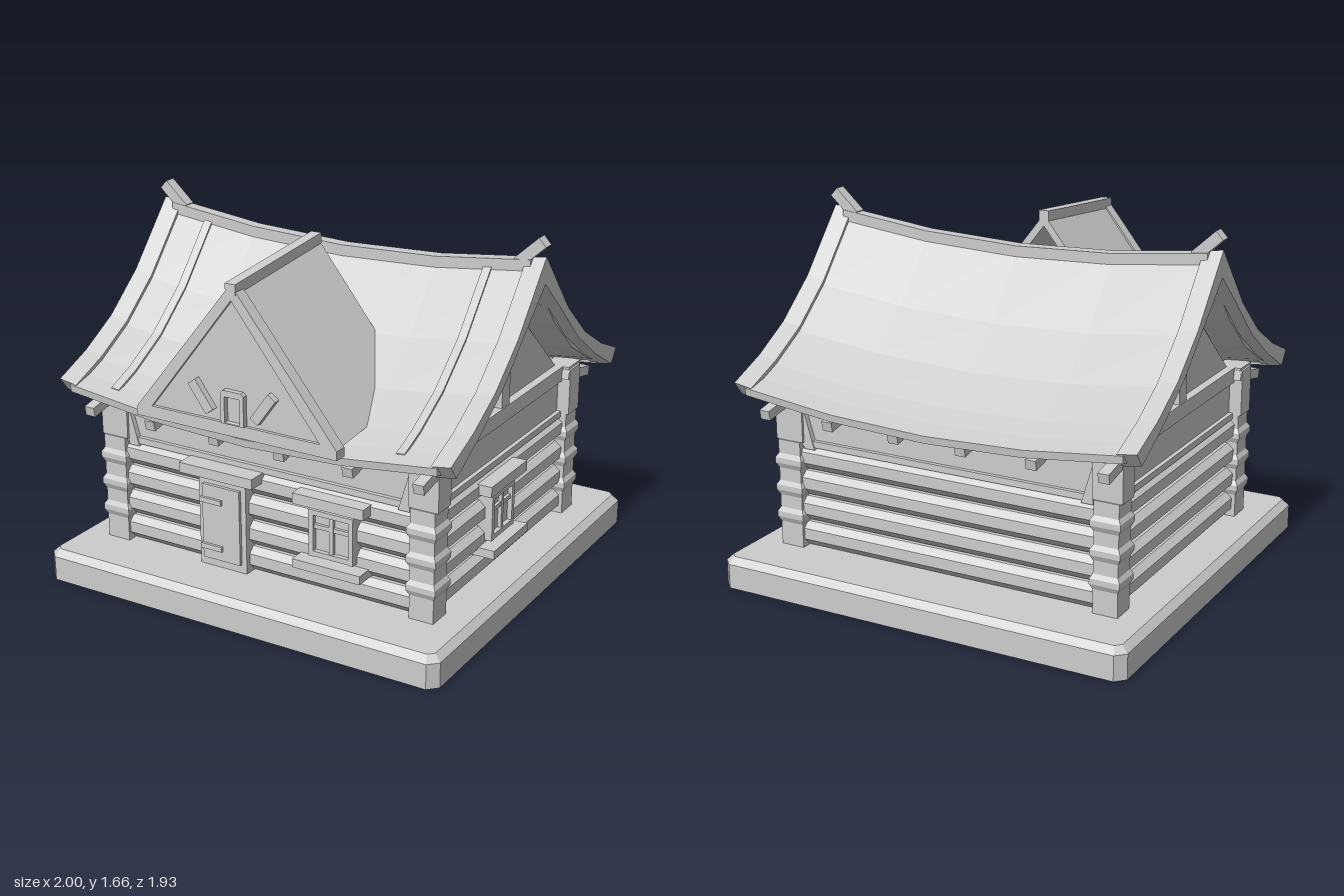
import * as THREE from 'three';

export function createModel() {
  const model = new THREE.Group();
  const wood = new THREE.MeshStandardMaterial({ color: 0xcccccc });
  wood.name = 'pale grey';

  function add(name, geo, parent = model) {
    const g = geo.index ? geo.toNonIndexed() : geo;
    g.computeVertexNormals();
    const m = new THREE.Mesh(g, wood);
    m.name = name;
    parent.add(m);
    return m;
  }
  // Box given by its limits
  const box = (name, x0, x1, y0, y1, z0, z1, parent) => {
    const m = add(name, new THREE.BoxGeometry(x1 - x0, y1 - y0, z1 - z0), parent);
    m.position.set((x0 + x1) / 2, (y0 + y1) / 2, (z0 + z1) / 2);
    return m;
  };
  // Outline of [z, y] points swept along x, with a height offset per station
  function sweep(profile, xs, lift = () => 0) {
    let loop = profile.map(p => new THREE.Vector2(p[0], p[1]));
    if (THREE.ShapeUtils.isClockWise(loop)) loop = loop.reverse();
    const n = loop.length, pos = [];
    const put = (i, k) => pos.push(xs[i], loop[k % n].y + lift(xs[i]), loop[k % n].x);
    for (let i = 0; i < xs.length - 1; i++)
      for (let k = 0; k < n; k++) {
        put(i, k); put(i + 1, k); put(i + 1, k + 1);
        put(i, k); put(i + 1, k + 1); put(i, k + 1);
      }
    for (const [a, b, c] of THREE.ShapeUtils.triangulateShape(loop, [])) {
      put(0, a); put(0, b); put(0, c);
      const e = xs.length - 1;
      put(e, c); put(e, b); put(e, a);
    }
    const g = new THREE.BufferGeometry();
    g.setAttribute('position', new THREE.Float32BufferAttribute(pos, 3));
    return g;
  }
  const outline = pts => new THREE.Shape(pts.map(p => new THREE.Vector2(p[0], p[1])));
  const extrude = (shape, z0, z1) =>
    new THREE.ExtrudeGeometry(shape, { depth: z1 - z0, bevelEnabled: false }).translate(0, 0, z0);

  // Base slab with bevelled corners and top edge
  const X = 0.97, Z = 0.935, c = 0.025;
  const slab = new THREE.ExtrudeGeometry(outline([[X, -Z + c], [X, Z - c], [X - c, Z], [-X + c, Z],
    [-X, Z - c], [-X, -Z + c], [-X + c, -Z], [X - c, -Z]]),
    { depth: 0.115, bevelThickness: 0.03, bevelSize: 0.03, bevelSegments: 1 });
  slab.rotateX(-Math.PI / 2);
  const sp = slab.attributes.position;
  for (let i = 0; i < sp.count; i++) sp.setY(i, Math.max(0, sp.getY(i)));
  add('base', slab);

  // Log walls
  box('wallCore', -0.78, 0.78, 0.14, 0.64, -0.64, 0.64);
  const logs = new THREE.Group();
  logs.name = 'logWalls';
  model.add(logs);
  for (let i = 0; i < 4; i++) {
    const y = 0.205 + i * 0.123;
    for (let s = 0; s < 4; s++) {
      const out = s % 2 ? 0.83 : 0.69, half = s % 2 ? 0.6 : 0.75;
      const log = add('log', sweep([[out - 0.07, y - 0.06], [out - 0.04, y - 0.06], [out, y - 0.022],
        [out, y + 0.03], [out - 0.03, y + 0.058], [out - 0.07, y + 0.058]], [-half, half]), logs);
      log.rotation.y = s * Math.PI / 2;
    }
  }

  // Notched corner posts, upper posts and caps
  const prof = [[0, 0.14], [0.058, 0.14]];
  for (const y of [0.29, 0.42, 0.55]) prof.push([0.058, y - 0.035], [0.07, y - 0.01], [0.07, y + 0.015], [0.058, y + 0.035]);
  prof.push([0.058, 0.65], [0, 0.65]);
  for (const sx of [-1, 1]) for (const sz of [-1, 1]) {
    const post = add('cornerPost', new THREE.LatheGeometry(
      prof.map(p => new THREE.Vector2(p[0] * Math.SQRT2, p[1])), 4, Math.PI / 4));
    post.position.set(sx * 0.79, 0, sz * 0.645);
    const up = box('upperPost', -0.07, 0.07, 0.65, 0.87, -0.055, 0.055);
    up.position.x = sx * 0.79;
    up.position.z = sz * 0.642;
    const cap = box('postCap', -0.06, 0.06, 0.825, 0.88, -0.065, 0.065);
    cap.position.x = sx * 0.79;
    cap.position.z = sz * 0.655;
    const brace = add('cornerBrace', extrude(outline([[0.72, 0.81], [0.665, 0.62], [0.72, 0.62]]
      .map(p => [sx * p[0], p[1]])), -0.015, 0.015));
    brace.position.z = sz * 0.67;
  }
  box('frieze', -0.8, 0.8, 0.63, 0.86, -0.66, 0.66);
  box('sillBeam', -0.82, 0.82, 0.63, 0.66, -0.68, 0.68);
  box('topBeam', -0.82, 0.82, 0.81, 0.88, -0.6, 0.6);

  // Gable walls with king posts
  for (const s of [-1, 1]) {
    add('gableWall', sweep([[0.6, 0.87], [0, 1.4], [-0.6, 0.87]], [s * 0.76 - 0.02, s * 0.76 + 0.02]));
    box('kingPost', s * 0.79 - 0.025, s * 0.79 + 0.025, 0.88, 1.39, -0.038, 0.038);
  }

  // Curved, sagging roof
  const sag = x => -0.08 * (1 - (x / 0.98) ** 2);
  const top = [[0, 1.58], [0.25, 1.29], [0.45, 1.12], [0.64, 1.01], [0.83, 0.93]];
  const under = [[0, 1.46], [0.19, 1.29], [0.37, 1.12], [0.59, 0.97], [0.78, 0.865]];
  const mirror = half => [...half.slice(1).reverse().map(([z, y]) => [-z, y]), ...half];
  const ring = (a, b) => [...mirror(a), ...mirror(b).reverse()];
  const xs = [-0.92, -0.47, 0, 0.47, 0.92];
  const panel = [...top.slice(0, 4).map(([z, y]) => [z, y - 0.02]), [0.77, 0.935]];
  add('roofPanel', sweep(ring(panel, panel.map(([z, y]) => [z, y - 0.055])), xs, sag));
  for (const s of [-1, 1]) {
    add('vergeBoard', sweep(ring(top, under), [s * 0.935 - 0.045, s * 0.935 + 0.045], sag));
    const eave = [[0.74, 0.95], [0.835, 0.925], [0.83, 0.89], [0.75, 0.875]];
    add('eaveBoard', sweep(eave.map(([z, y]) => [s * z, y]), xs, sag));
    // Front battens
    const batten = panel.map(([z, y]) => [z, y + 0.015]);
    add('roofBatten', sweep([...batten, ...panel.slice().reverse()], [s * 0.72 - 0.02, s * 0.72 + 0.02], sag));
    // Upturned ridge ends
    const horn = add('ridgeHorn', new THREE.BoxGeometry(0.05, 0.15, 0.055));
    horn.position.set(s * 0.915, 1.595, 0);
    horn.rotation.z = -s * 0.83;
    // Rafter tails
    for (const x of [-0.83, -0.5, -0.165, 0.165, 0.5, 0.83]) {
      const tail = add('rafterTail', new THREE.BoxGeometry(0.05, 0.045, 0.24));
      tail.position.set(x, 0.822, s * 0.7);
      tail.rotation.x = s * 0.2;
    }
  }
  add('ridgeCap', sweep([[-0.03, 1.5], [0.03, 1.5], [0.03, 1.575], [-0.03, 1.575]], xs, sag));

  // Dormer with its roof rising slightly toward the back
  const dormer = new THREE.Group();
  dormer.name = 'dormer';
  model.add(dormer);
  const rise = g => {
    const p = g.attributes.position;
    for (let i = 0; i < p.count; i++) p.setY(i, p.getY(i) + (0.9 - p.getZ(i)) * 0.088);
    return g;
  };
  add('dormerRoof', rise(extrude(outline([[0, 1.53], [-0.485, 0.91], [-0.46, 0.89], [0, 1.475],
    [0.46, 0.89], [0.485, 0.91]]), 0.24, 0.86)), dormer);
  add('dormerRidge', rise(extrude(outline([[-0.025, 1.5], [0.025, 1.5], [0.025, 1.547], [-0.025, 1.547]]), 0.24, 0.903)), dormer);
  const barge = outline([[0, 1.545], [-0.5, 0.92], [-0.5, 0.88], [0.5, 0.88], [0.5, 0.92]]);
  barge.holes.push(outline([[0, 1.475], [0.42, 0.935], [-0.42, 0.935]]));
  add('dormerFrame', extrude(barge, 0.84, 0.9), dormer);
  add('dormerPanel', extrude(outline([[0, 1.5], [-0.45, 0.9], [0.45, 0.9]]), 0.85, 0.885), dormer);
  const arch = outline([[-0.057, 0.935], [0.057, 0.935], [0.057, 1.07], [0.045, 1.083], [-0.045, 1.083], [-0.057, 1.07]]);
  arch.holes.push(outline([[-0.038, 0.94], [-0.038, 1.055], [0.038, 1.055], [0.038, 0.94]]));
  add('dormerWindowFrame', extrude(arch, 0.88, 0.91), dormer);
  for (const s of [-1, 1]) {
    const brace = add('dormerBrace', new THREE.BoxGeometry(0.045, 0.15, 0.04), dormer);
    brace.position.set(s * 0.155, 1.035, 0.895);
    brace.rotation.z = -s * 0.63;
  }

  // Door with frame, hinges and lintel
  box('doorFrame', -0.32, -0.075, 0.14, 0.565, 0.63, 0.715);
  box('doorLeaf', -0.295, -0.1, 0.185, 0.54, 0.7, 0.73);
  for (const y of [0.245, 0.468]) box('hinge', -0.3, -0.19, y - 0.012, y + 0.012, 0.72, 0.742);
  box('doorLintel', -0.385, -0.005, 0.588, 0.635, 0.64, 0.77);

  // Cross windows; local +z points out of the wall
  function crossWindow(name) {
    const w = new THREE.Group();
    w.name = name;
    model.add(w);
    box('pane', -0.1, 0.1, 0.335, 0.53, -0.07, 0.008, w);
    for (const s of [-1, 1]) {
      box('jamb', s * 0.098 - 0.012, s * 0.098 + 0.012, 0.325, 0.54, -0.05, 0.03, w);
      box('rail', -0.11, 0.11, 0.435 + s * 0.096 - 0.012, 0.435 + s * 0.096 + 0.012, -0.05, 0.03, w);
    }
    box('mullion', -0.01, 0.01, 0.33, 0.535, -0.05, 0.025, w);
    box('crossbar', -0.1, 0.1, 0.455, 0.475, -0.05, 0.022, w);
    box('sill', -0.168, 0.168, 0.272, 0.312, -0.06, 0.072, w);
    box('lintel', -0.175, 0.175, 0.563, 0.612, -0.06, 0.055, w);
    return w;
  }
  crossWindow('frontWindow').position.set(0.362, 0, 0.695);
  const side = crossWindow('sideWindow');
  side.position.set(0.835, 0, 0.093);
  side.rotation.y = Math.PI / 2;

  return model;
}
